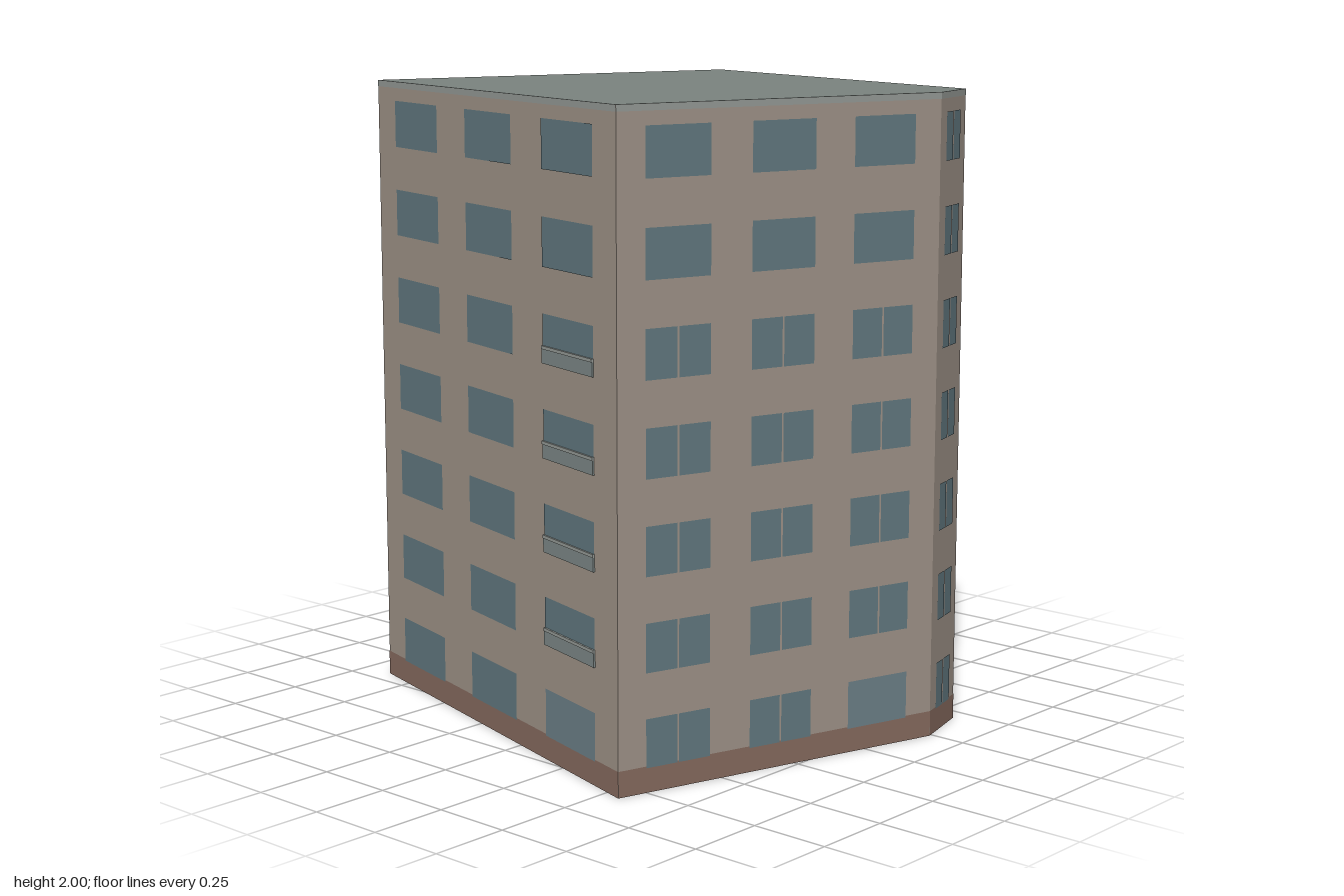
import * as THREE from 'three';

const H = 2, FLOORS = 7, PITCH = 0.286, SILL = 0.075, WIN_H = 0.148;
const LIFT = 0.002; // surface panels sit just proud of the wall

// Plan corners (x, z), walked left to right as each wall is faced from outside
const CORNERS = [[-0.84, 0.56], [0.24, 0.88], [0.44, 0.825], [0.84, -0.51], [-0.43, -0.885]];
const BAYS = [[0.083, 0.277], [0.402, 0.597], [0.72, 0.915]];
const WALLS = [
  { name: 'frontWall', bays: BAYS, split: true, door: 2 },
  { name: 'cornerWall', bays: [[0.22, 0.78]], split: true, allSplit: true },
  { name: 'rightWall', bays: BAYS, door: 2, balcony: 1 },
  { name: 'backWall', bays: BAYS, split: true, door: 2 },
  { name: 'leftWall', bays: BAYS, door: 2, balcony: 2 },
];

const material = (color, side = THREE.FrontSide) => new THREE.MeshStandardMaterial({ color, side });

export function createModel() {
  const model = new THREE.Group();
  model.name = 'apartmentBlock';
  const mats = {
    wall: material(0xa1958a, THREE.DoubleSide),
    roof: material(0x7b8480, THREE.DoubleSide),
    base: material(0x886c60),
    glass: material(0x637a81),
    door: material(0x6e8189),
    trim: material(0x979c98),
    balcony: material(0x7f8a89),
  };

  // Flat rectangle in a wall's own frame: x along the wall, y up, z outward
  function panel(parent, name, x0, x1, y0, y1, z, mat) {
    const mesh = new THREE.Mesh(new THREE.PlaneGeometry(x1 - x0, y1 - y0), mat);
    mesh.position.set((x0 + x1) / 2, (y0 + y1) / 2, z);
    mesh.name = name;
    parent.add(mesh);
  }

  function box(parent, name, x0, x1, y0, y1, depth, mat) {
    const mesh = new THREE.Mesh(new THREE.BoxGeometry(x1 - x0, y1 - y0, depth), mat);
    mesh.position.set((x0 + x1) / 2, (y0 + y1) / 2, depth / 2);
    mesh.name = name;
    parent.add(mesh);
  }

  WALLS.forEach((spec, i) => {
    const [ax, az] = CORNERS[i], [bx, bz] = CORNERS[(i + 1) % CORNERS.length];
    const len = Math.hypot(bx - ax, bz - az);
    const side = new THREE.Group();
    side.name = spec.name;
    side.position.set(ax, 0, az);
    side.rotation.y = Math.atan2(az - bz, bx - ax);
    model.add(side);

    // Wall, plinth band and roof-edge strip
    panel(side, 'wall', 0, len, 0, H, 0, mats.wall);
    panel(side, 'plinth', 0, len, 0, 0.08, LIFT / 2, mats.base);
    panel(side, 'roofEdge', 0, len, 1.98, H, LIFT / 2, mats.trim);

    for (let f = 0; f < FLOORS; f++) {
      const y = SILL + f * PITCH;
      spec.bays.forEach(([u0, u1], b) => {
        const x0 = u0 * len, x1 = u1 * len, mid = (x0 + x1) / 2;
        const isDoor = f === 0 && b === spec.door;
        // Windows: two panes with a narrow gap, or a single wide pane
        if (spec.split && !isDoor && (f < 5 || spec.allSplit)) {
          panel(side, 'windowPane', x0, mid - 0.003, y, y + WIN_H, LIFT, mats.glass);
          panel(side, 'windowPane', mid + 0.003, x1, y, y + WIN_H, LIFT, mats.glass);
        } else {
          panel(side, isDoor ? 'entrance' : 'window', x0, x1, y, y + WIN_H, LIFT, isDoor ? mats.door : mats.glass);
        }
        // Shallow balconies on the middle floors
        if (b === spec.balcony && f >= 1 && f <= 4) {
          box(side, 'balconyPanel', x0, x1, y, y + 0.043, 0.006, mats.balcony);
          box(side, 'balconyRail', x0, x1, y + 0.043, y + 0.053, 0.008, mats.trim);
        }
      });
    }
  });

  // Flat roof; the underside of the block is open
  const outline = new THREE.Shape(CORNERS.map(([x, z]) => new THREE.Vector2(x, -z)));
  const roof = new THREE.Mesh(new THREE.ShapeGeometry(outline).rotateX(-Math.PI / 2), mats.roof);
  roof.position.y = H;
  roof.name = 'roof';
  model.add(roof);
  return model;
}
